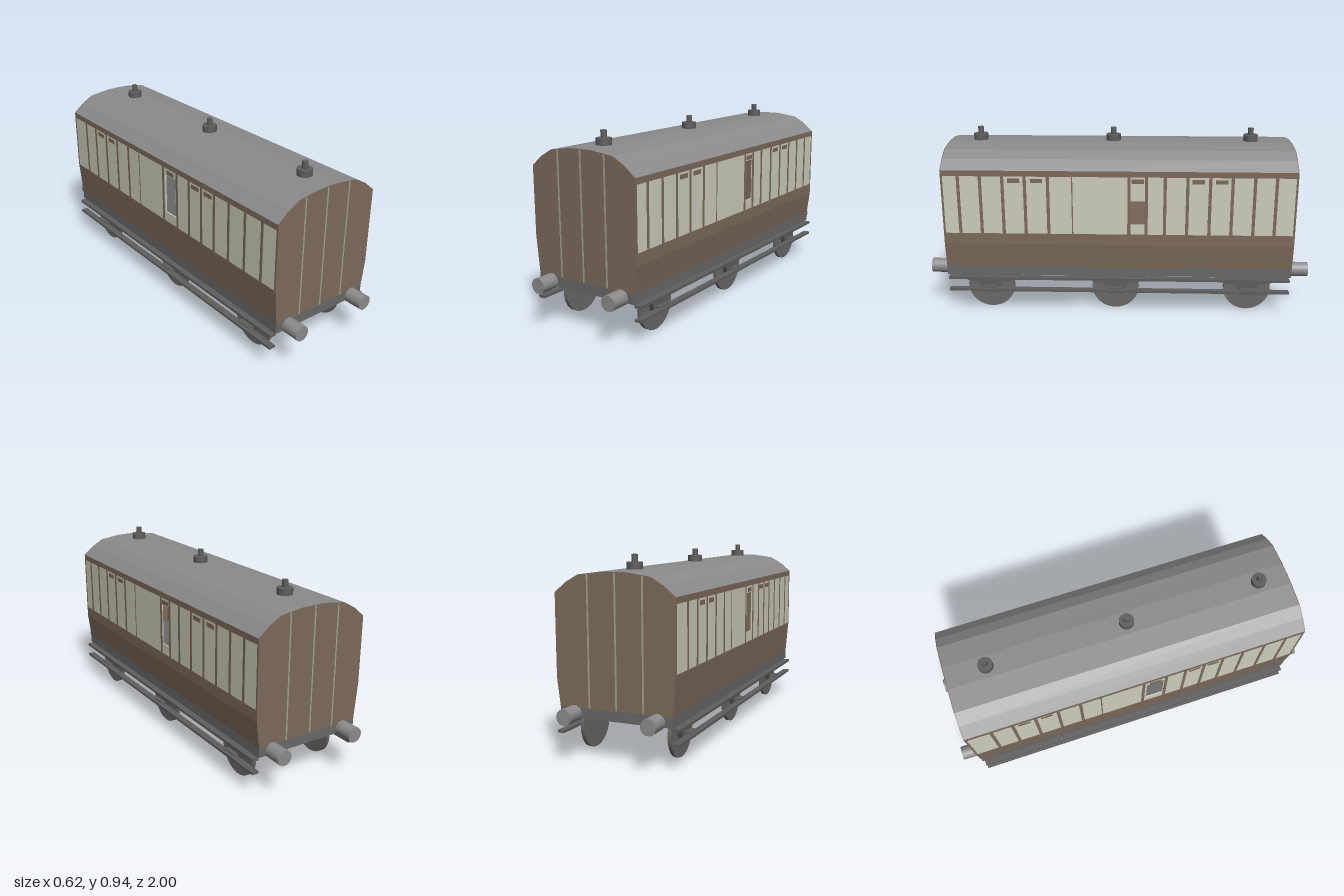
import * as THREE from 'three';

const mat = (name, color) => {
  const m = new THREE.MeshStandardMaterial({ color });
  m.name = name;
  return m;
};

export function createModel() {
  const root = new THREE.Group();
  root.name = 'railwayCarriage';
  const brown = mat('brown paint', 0x7d6a5b);
  const cream = mat('cream panels', 0xcccdba);
  const sage = mat('sage trim', 0x9ea38c);
  const roofGrey = mat('roof grey', 0x8b8b8b);
  const frameGrey = mat('frame grey', 0x686868);
  const darkGrey = mat('running gear grey', 0x5e5e5e);

  const add = (name, geo, m, parent = root) => {
    const mesh = new THREE.Mesh(geo, m);
    mesh.name = name;
    parent.add(mesh);
    return mesh;
  };
  // Box from its two extreme corners
  const box = (name, m, x0, x1, y0, y1, z0, z1, parent) => {
    const g = new THREE.BoxGeometry(Math.abs(x1 - x0), Math.abs(y1 - y0), Math.abs(z1 - z0));
    g.translate((x0 + x1) / 2, (y0 + y1) / 2, (z0 + z1) / 2);
    return add(name, g, m, parent);
  };
  const shape = pts => new THREE.Shape(pts.map(p => new THREE.Vector2(...p)));
  const extrude = (s, depth) => new THREE.ExtrudeGeometry(s, { depth, bevelEnabled: false });
  // Outline given as (z, y), extruded between x0 and x1
  const sidePlate = (s, x0, x1) => extrude(s, x1 - x0).rotateY(-Math.PI / 2).translate(x1, 0, 0);

  const END = 0.906, WALL = 0.902;
  const roofHalf = [[0.298, 0.772], [0.24, 0.82], [0.178, 0.855], [0.06, 0.871]];
  const mirror = pts => pts.map(([x, y]) => [-x, y]).reverse();
  const roofLine = [...roofHalf, ...mirror(roofHalf)];

  // Curved roof sheet
  const inner = roofLine.map(([x, y]) => [x * 0.985, y - 0.006]).reverse();
  add('roof', extrude(shape([...roofLine, ...inner]), WALL * 2).translate(0, 0, -WALL), roofGrey);

  // Ends with their vertical trim
  const endShape = shape([[-0.282, 0.25], [0.282, 0.25], [0.298, 0.38], ...roofLine, [-0.298, 0.437]]);
  for (const s of [1, -1]) {
    const z = s > 0 ? WALL : -END;
    add('endWall', extrude(endShape, END - WALL).translate(0, 0, z), brown);
    for (const [x, top] of [[-0.141, 0.858], [-0.007, 0.869], [0.13, 0.859]])
      box('endTrim', sage, x - 0.004, x + 0.004, 0.25, top, s * END, s * (END + 0.002));
  }

  // Side walls; positions are fractions of the length from the leading end
  const sides = [
    { s: 1, kink: 0.38, window: [0.534, 0.575],
      posts: [0.049, 0.111, 0.174, 0.237, 0.302, 0.53, 0.579, 0.631, 0.694, 0.757, 0.819, 0.881, 0.941],
      seam: 0.37, vents: [0.206, 0.27, 0.724, 0.789] },
    { s: -1, kink: 0.43, window: [0.526, 0.576],
      posts: [0.074, 0.135, 0.2, 0.265, 0.33, 0.516, 0.583, 0.64, 0.696, 0.752, 0.813, 0.878, 0.943],
      seam: 0.39, vents: [0.168, 0.232, 0.668, 0.724] },
  ];
  for (const { s, kink, window: [w0, w1], posts, seam, vents } of sides) {
    const side = new THREE.Group();
    side.name = s > 0 ? 'leftSide' : 'rightSide';
    root.add(side);
    const zAt = f => s * (END - f * 2 * END);
    const plate = (name, f, half, y0, y1) =>
      box(name, brown, s * 0.295, s * 0.2985, y0, y1, zAt(f) - half, zAt(f) + half, side);

    // Cream band with an open window
    const band = shape([[-WALL, 0.437], [WALL, 0.437], [WALL, 0.742], [-WALL, 0.742]]);
    const a = zAt(w0), b = zAt(w1);
    band.holes.push(shape([[a, 0.49], [b, 0.49], [b, 0.704], [a, 0.704]]));
    add('panelBand', s > 0 ? sidePlate(band, 0.29, 0.297) : sidePlate(band, -0.297, -0.29), cream, side);

    // Lower wall tapering inward to the frame
    const lower = [[0.282, 0.25], [0.298, kink], [0.298, 0.437], [0.29, 0.437], [0.29, kink], [0.274, 0.25]]
      .map(([x, y]) => [s * x, y]);
    add('lowerWall', extrude(shape(lower), WALL * 2).translate(0, 0, -WALL), brown, side);
    box('topRail', brown, s * 0.29, s * 0.298, 0.742, 0.772, -WALL, WALL, side);

    // Posts, seam and small ventilators
    for (const f of posts) plate('post', f, 0.008, 0.437, 0.742);
    for (const f of [0.003, 0.997]) plate('cornerPost', f, 0.005, 0.437, 0.742);
    plate('panelSeam', seam, 0.003, 0.437, 0.742);
    for (const f of [...vents, (w0 + w1) / 2]) plate('doorVent', f, 0.031, 0.709, 0.731);
  }

  // Underframe and buffers
  box('underframe', frameGrey, -0.282, 0.282, 0.2, 0.25, -END, END);
  for (const s of [1, -1]) for (const x of [-0.208, 0.209]) {
    const g = new THREE.CylinderGeometry(0.038, 0.038, 0.095, 24).rotateX(Math.PI / 2);
    add('buffer', g, roofGrey).position.set(x, 0.222, s * 0.9525);
  }

  // Wheels, springs and axle boxes
  const guard = shape([[-0.17, 0.2], [-0.17, 0.187], [-0.13, 0.182], [-0.125, 0.16], [-0.065, 0.152],
    [-0.045, 0.105], [0.045, 0.105], [0.065, 0.152], [0.125, 0.16], [0.13, 0.182], [0.17, 0.187], [0.17, 0.2]]);
  for (const z of [0.683, 0.016, -0.682]) for (const s of [1, -1]) {
    const wheel = new THREE.CylinderGeometry(0.124, 0.124, 0.018, 32).rotateZ(Math.PI / 2);
    add('wheel', wheel, frameGrey).position.set(s > 0 ? 0.23 : -0.22, 0.126, z);
    const g = s > 0 ? sidePlate(guard, 0.237, 0.265) : sidePlate(guard, -0.255, -0.227);
    add('axleGuard', g.translate(0, 0, z), darkGrey);
    box('axleBox', darkGrey, s * 0.25, s * 0.29, 0.102, 0.133, z - 0.04, z + 0.04);
  }

  // Long footboards
  for (const s of [1, -1]) {
    box('upperFootboard', darkGrey, s * 0.274, s * 0.309, 0.182, 0.195, -0.895, 0.895);
    box('lowerFootboard', darkGrey, s * 0.274, s * 0.309, 0.116, 0.128, -0.895, 0.895);
  }

  // Roof lamps
  for (const z of [0.747, 0.034, -0.696]) {
    add('lampBase', new THREE.CylinderGeometry(0.038, 0.038, 0.04, 20), darkGrey).position.set(0, 0.884, z);
    add('lampTop', new THREE.CylinderGeometry(0.015, 0.015, 0.04, 16), darkGrey).position.set(0, 0.92, z);
  }
  return root;
}
